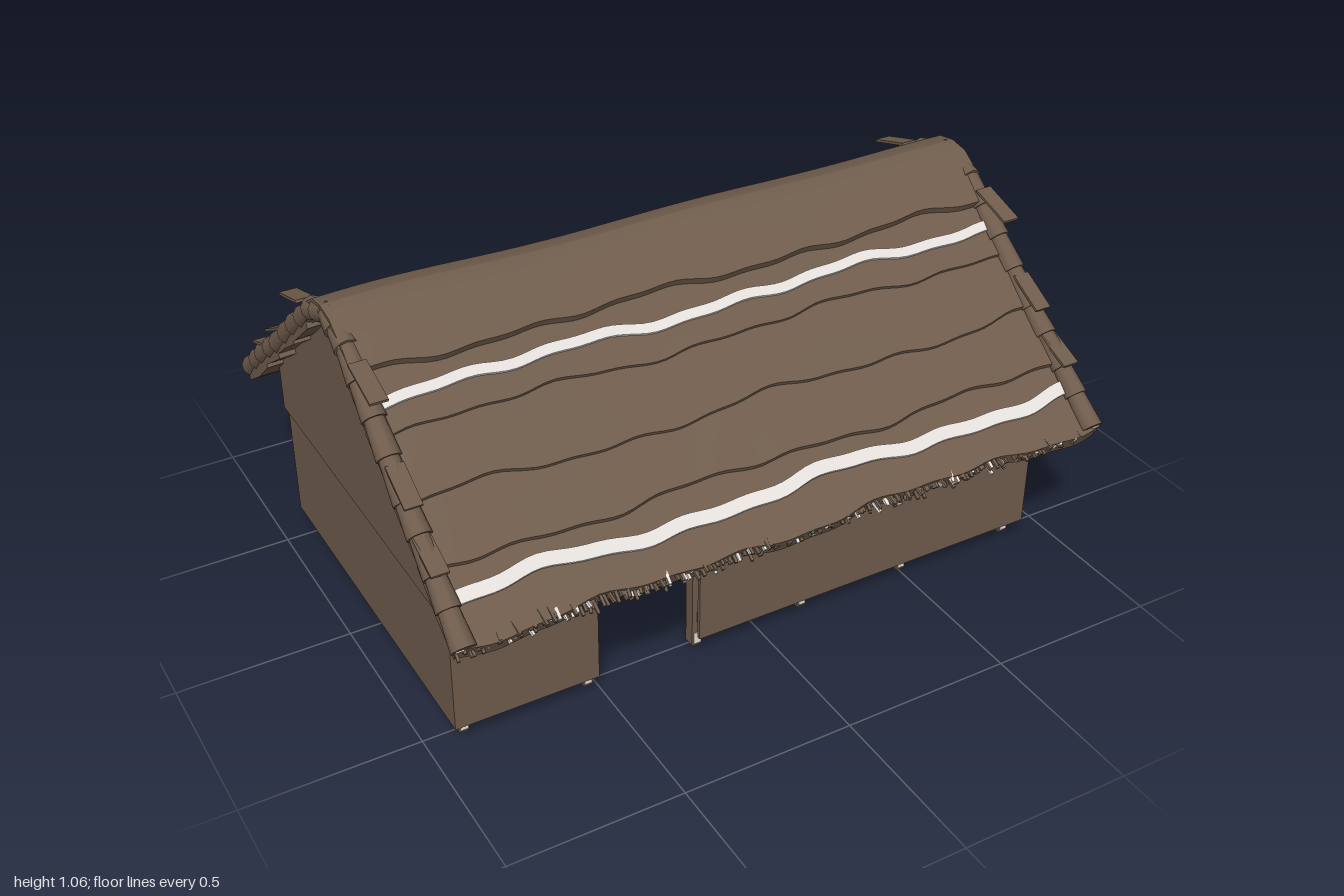
import * as THREE from 'three';
import { mergeGeometries, toCreasedNormals } from 'three/addons/utils/BufferGeometryUtils.js';

const brown = new THREE.MeshStandardMaterial({ color: 0x6f5c4c, side: THREE.DoubleSide });
brown.name = 'brownTimberAndThatch';
const pale = new THREE.MeshStandardMaterial({ color: 0xe4dfdb, side: THREE.DoubleSide });
pale.name = 'paleBinding';

let seed = 7;
const rand = () => (seed = (seed * 16807) % 2147483647) / 2147483647;

function add(group, name, geo, mat = brown) {
  const m = new THREE.Mesh(geo, mat);
  m.name = name;
  group.add(m);
  return m;
}

// Straight member between two points: square when sides is 0, otherwise round
function beam(a, b, w = 0.035, h = w, sides = 0) {
  const p = new THREE.Vector3(...a), q = new THREE.Vector3(...b);
  const d = q.clone().sub(p), len = d.length();
  const g = sides ? new THREE.CylinderGeometry(h, w, len, sides) : new THREE.BoxGeometry(w, len, h);
  g.applyQuaternion(new THREE.Quaternion().setFromUnitVectors(new THREE.Vector3(0, 1, 0), d.normalize()));
  const c = p.add(q).multiplyScalar(0.5);
  return g.translate(c.x, c.y, c.z);
}

const box = (x, y, z, w, h, d) => new THREE.BoxGeometry(w, h, d).translate(x, y, z);

// Sag of the whole roof and the uneven lower edge of each course
const sag = x => 0.006 * Math.sin(6.5 * x + 1) + 0.007 * Math.cos(3.1 * x) * (x * x * 2 - 1);
const ragged = (x, s) => 0.007 * Math.sin(7 * x + s * 2) + 0.005 * Math.sin(15 * x + s * 5) + 0.003 * Math.sin(31 * x + s);

// Thatch slab: a [z, y] section swept along x, closed at both ends
function course(points, thick, half, side, s, moveAll = false) {
  const n = points.length, steps = 70, ring = 2 * n, pos = [], idx = [];
  for (let i = 0; i <= steps; i++) {
    const x = -half + 2 * half * i / steps, e = ragged(x, s);
    const top = points.map(([z, y], k) => {
      const m = moveAll || k === n - 1 ? e : 0;
      return [z + m, y - 0.8 * m + sag(x)];
    });
    const under = top.map(([z, y]) => [z < 0.01 ? 0 : z - thick * 0.5, y - thick]).reverse();
    for (const [z, y] of [...top, ...under]) pos.push(x, y, z * side);
  }
  const tri = (a, b, c) => (side > 0 ? idx.push(a, b, c) : idx.push(a, c, b));
  for (let i = 0; i < steps; i++) {
    for (let k = 0; k < ring; k++) {
      const a = i * ring + k, b = i * ring + (k + 1) % ring;
      tri(a, b, a + ring);
      tri(b, b + ring, a + ring);
    }
  }
  const end = steps * ring;
  for (let k = 0; k < n - 1; k++) {
    const j = ring - 1 - k;
    tri(k, j, k + 1); tri(k + 1, j, j - 1);
    tri(end + k, end + k + 1, end + j); tri(end + k + 1, end + j - 1, end + j);
  }
  const g = new THREE.BufferGeometry();
  g.setAttribute('position', new THREE.Float32BufferAttribute(pos, 3));
  g.setIndex(idx);
  g.computeVertexNormals();
  return toCreasedNormals(g, 0.7);
}

function shapeOf(pts) {
  return new THREE.Shape(pts.map(p => new THREE.Vector2(...p)));
}

function buildRoof() {
  const roof = new THREE.Group();
  roof.name = 'thatchedRoof';
  const courses = [
    [[0, 1.055], [0.06, 1.045], [0.12, 1.005], [0.19, 0.952]],
    [[0.14, 0.965], [0.25, 0.875], [0.31, 0.835]],
    [[0.27, 0.85], [0.36, 0.79], [0.455, 0.715]],
    [[0.42, 0.725], [0.5, 0.67], [0.59, 0.61]],
    [[0.55, 0.625], [0.65, 0.54], [0.745, 0.478]],
  ];
  const stripes = [[[0.23, 0.903], [0.253, 0.884]], [[0.634, 0.567], [0.664, 0.543]]];
  const verge = [[0, 1.03], [0.11, 0.985], [0.26, 0.865], [0.43, 0.72], [0.59, 0.6], [0.735, 0.48]];
  const flakes = [[0.18, 0.975, 0.315, 0.933], [0.38, 0.79, 0.49, 0.73], [0.52, 0.665, 0.63, 0.62]];

  for (const side of [1, -1]) {
    const tag = side > 0 ? 'front' : 'back';
    courses.forEach((c, i) => add(roof, `${tag}ThatchCourse${i + 1}`, course(c, 0.04, 0.985, side, i)));
    stripes.forEach((c, i) => add(roof, `${tag}BindingStripe${i + 1}`, course(c, 0.006, 0.95, side, i + 7, true), pale));

    // Loose straws along the eave
    const straws = [[], []];
    for (let i = 0; i < 260; i++) {
      const x = -0.98 + 1.96 * (i + rand()) / 260, l = 0.03 + 0.02 * rand(), y = 0.455 + 0.02 * rand() + sag(x);
      const b = beam([x, y + 0.02, 0.71 * side], [x + 0.02 * (rand() - 0.5), y - 0.005, (0.71 + l) * side], 0.008);
      straws[rand() < 0.2 ? 1 : 0].push(b);
    }
    add(roof, `${tag}EaveStraws`, mergeGeometries(straws[0]));
    add(roof, `${tag}PaleStraws`, mergeGeometries(straws[1]), pale);

    // Rolled bundles, flakes and ties on the gable edges
    for (const x of [-0.965, 0.965]) {
      const rolls = [], ties = [];
      for (let i = 0; i < verge.length - 1; i++) {
        const [z0, y0] = verge[i], [z1, y1] = verge[i + 1];
        for (const [t0, t1] of [[0, 0.52], [0.48, 1.06]]) {
          const at = t => [x, y0 + (y1 - y0) * t + sag(x) * 0.5, (z0 + (z1 - z0) * t) * side];
          rolls.push(beam(at(t0), at(t1), 0.027, 0.034, 10));
          ties.push(box(x + 0.012 * Math.sign(x), at(t1)[1] + 0.012, at(t1)[2], 0.022, 0.02, 0.012));
        }
      }
      for (const [z0, y0, z1, y1] of flakes) rolls.push(beam([x, y0, z0 * side], [x, y1, z1 * side], 0.05, 0.008));
      add(roof, `${tag}VergeRolls`, mergeGeometries(rolls));
      add(roof, `${tag}VergeTies`, mergeGeometries(ties), pale);
    }
  }
  return roof;
}

function buildWalls() {
  const walls = new THREE.Group();
  walls.name = 'walls';
  const panel = (shape, depth = 0.012) => new THREE.ExtrudeGeometry(shape, { depth, bevelEnabled: false });
  const L = -0.93, R = 0.915, y0 = 0.057, y1 = 0.415;

  // Lower walls, with the doorway cut from the front one
  const front = shapeOf([[L, y0], [-0.51, y0], [-0.51, 0.315], [-0.4, 0.325], [-0.2, 0.32], [-0.2, y0], [R, y0], [R, y1], [L, y1]]);
  add(walls, 'frontLowerWall', panel(front).translate(0, 0, 0.55));
  add(walls, 'backLowerWall', box((L + R) / 2, (y0 + y1) / 2, -0.556, R - L, y1 - y0, 0.012));
  for (const x of [L + 0.006, R - 0.006]) add(walls, 'endLowerWall', box(x, (y0 + y1) / 2, 0, 0.012, y1 - y0, 1.12));

  // Upper side walls overlap the lower ones slightly
  for (const s of [1, -1]) add(walls, 'upperSideWall', box((L + R) / 2, 0.483, 0.572 * s, R - L + 0.014, 0.15, 0.012));

  // Gables, the right-hand one of which has the loft opening
  for (const open of [true, false]) {
    const gable = shapeOf([[-0.578, 0.408], [0.578, 0.408], [0.578, 0.56], [0.3, 0.79], [0.1, 0.965], [0, 1.02],
      [-0.1, 0.965], [-0.3, 0.79], [-0.578, 0.56]]);
    if (open) gable.holes.push(new THREE.Path([[-0.13, 0.415], [-0.13, 0.645], [0.14, 0.645], [0.14, 0.415]].map(p => new THREE.Vector2(...p))));
    add(walls, open ? 'openGable' : 'closedGable', panel(gable).rotateY(-Math.PI / 2).translate(open ? R + 0.007 : L + 0.005, 0, 0));
  }
  return walls;
}

function buildFrame() {
  const frame = new THREE.Group();
  frame.name = 'timberFrame';
  const rows = [[0.505, [-0.89, -0.525, -0.185, 0.16, 0.505, 0.88]],
    [-0.505, [-0.89, -0.58, -0.15, 0.415, 0.88]], [0, [-0.89, -0.58, -0.15, 0.415, 0.88]]];
  const posts = [], feet = [], rails = [], braces = [], rafters = [];

  for (const [z, xs] of rows) {
    for (const x of xs) {
      posts.push(box(x, 0.21, z, 0.03, 0.41, 0.035));
      feet.push(box(x, 0.03, z + 0.018, 0.02, 0.035, 0.004), box(x, 0.003, z, 0.024, 0.006, 0.028));
    }
    rails.push(beam([-0.9, 0.4, z], [0.89, 0.4, z]));
  }
  // Sills, stopping at the doorway, and tie beams
  rails.push(beam([-0.9, 0.1, -0.52], [0.89, 0.1, -0.52]), beam([-0.9, 0.1, 0.52], [-0.525, 0.1, 0.52]), beam([-0.185, 0.1, 0.52], [0.89, 0.1, 0.52]));
  for (const x of [-0.89, 0.88]) rails.push(beam([x, 0.1, -0.52], [x, 0.1, 0.52]));
  for (const x of [-0.89, -0.58, -0.15, 0.415, 0.88]) {
    rails.push(beam([x, 0.425, -0.55], [x, 0.425, 0.55]));
    const out = x > 0.8 ? -0.03 : 0;
    rafters.push(beam([x, 0.6, -0.46], [x, 0.6, 0.46], 0.025));
    for (const s of [1, -1]) rafters.push(beam([x + out, 0.53, 0.55 * s], [x + out, 0.97, 0.01 * s], 0.028));
  }
  rafters.push(beam([-0.9, 0.965, 0], [0.89, 0.965, 0]));

  // Diagonal braces in the side walls, end walls and left gable
  for (const [a, b] of [[-0.185, 0.16], [0.88, 0.505]]) braces.push(beam([a, 0.38, 0.515], [b, 0.11, 0.515], 0.022));
  for (const [a, b] of [[-0.4, -0.17], [0.62, 0.86], [-0.65, -0.87]]) braces.push(beam([a, 0.38, -0.515], [b, 0.11, -0.515], 0.022));
  for (const x of [-0.89, 0.88]) for (const s of [1, -1]) braces.push(beam([x, 0.38, 0.26 * s], [x, 0.11, 0.48 * s], 0.022));
  for (const s of [1, -1]) braces.push(beam([-0.89, 0.59, 0.015 * s], [-0.89, 0.43, 0.16 * s], 0.018));
  braces.push(beam([-0.89, 0.42, 0], [-0.89, 0.96, 0], 0.03));

  // Loft planks either side of the doorway bay
  const planks = [];
  for (const [a, b] of [[-0.9, -0.5], [-0.21, 0.89]]) {
    for (let i = 0; i < 14; i++) planks.push(box((a + b) / 2, 0.446, -0.5 + i * 0.077, b - a, 0.01, 0.07));
  }
  add(frame, 'posts', mergeGeometries(posts));
  add(frame, 'postFeet', mergeGeometries(feet), pale);
  add(frame, 'rails', mergeGeometries(rails));
  add(frame, 'braces', mergeGeometries(braces));
  add(frame, 'rafters', mergeGeometries(rafters));
  add(frame, 'loftPlanks', mergeGeometries(planks));
  return frame;
}

export function createModel() {
  seed = 7;
  const barn = new THREE.Group();
  barn.name = 'thatchedBarn';
  barn.add(buildWalls(), buildFrame(), buildRoof());
  return barn;
}
